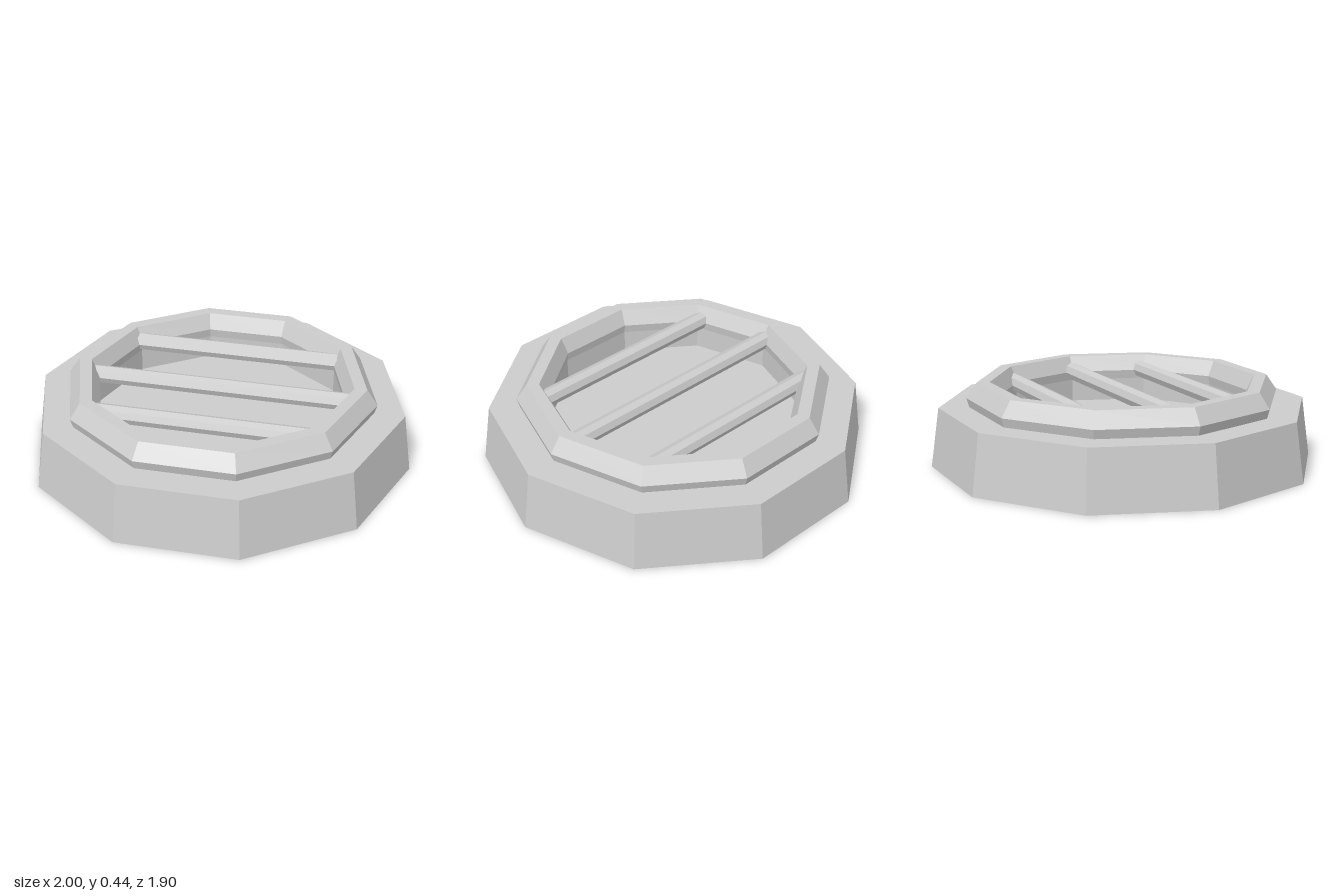
import * as THREE from 'three';

const SIDES = 10;
const material = new THREE.MeshStandardMaterial({ color: 0xcccccc, flatShading: true });

function addMesh(group, name, geometry) {
  const mesh = new THREE.Mesh(geometry, material);
  mesh.name = name;
  group.add(mesh);
  return mesh;
}

// Ten-sided turned body with corners on the x axis
function turned(profile) {
  const points = profile.map(([r, y]) => new THREE.Vector2(r, y));
  return new THREE.LatheGeometry(points, SIDES, Math.PI / SIDES, Math.PI * 2);
}

export function createModel() {
  const model = new THREE.Group();
  model.name = 'grate';

  // Tapered base with a sunken floor
  addMesh(model, 'base', turned([
    [0, 0], [1, 0], [0.957, 0.308], [0.66, 0.308], [0.66, 0.187], [0, 0.187],
  ]));

  // Bevelled rim, slightly undercut, resting on the base
  addMesh(model, 'rim', turned([
    [0.8, 0.308], [0.814, 0.355], [0.758, 0.436],
    [0.693, 0.436], [0.652, 0.355], [0.66, 0.308],
  ]));

  // Octagonal bars whose ends are buried in the rim
  const bars = new THREE.Group();
  bars.name = 'bars';
  model.add(bars);
  for (const [z, length] of [[-0.4, 1.16], [0, 1.4], [0.377, 1.16]]) {
    const geometry = new THREE.CylinderGeometry(0.047, 0.047, length, 8);
    geometry.rotateZ(Math.PI / 2);
    addMesh(bars, 'bar', geometry).position.set(0, 0.356, z);
  }
  return model;
}
